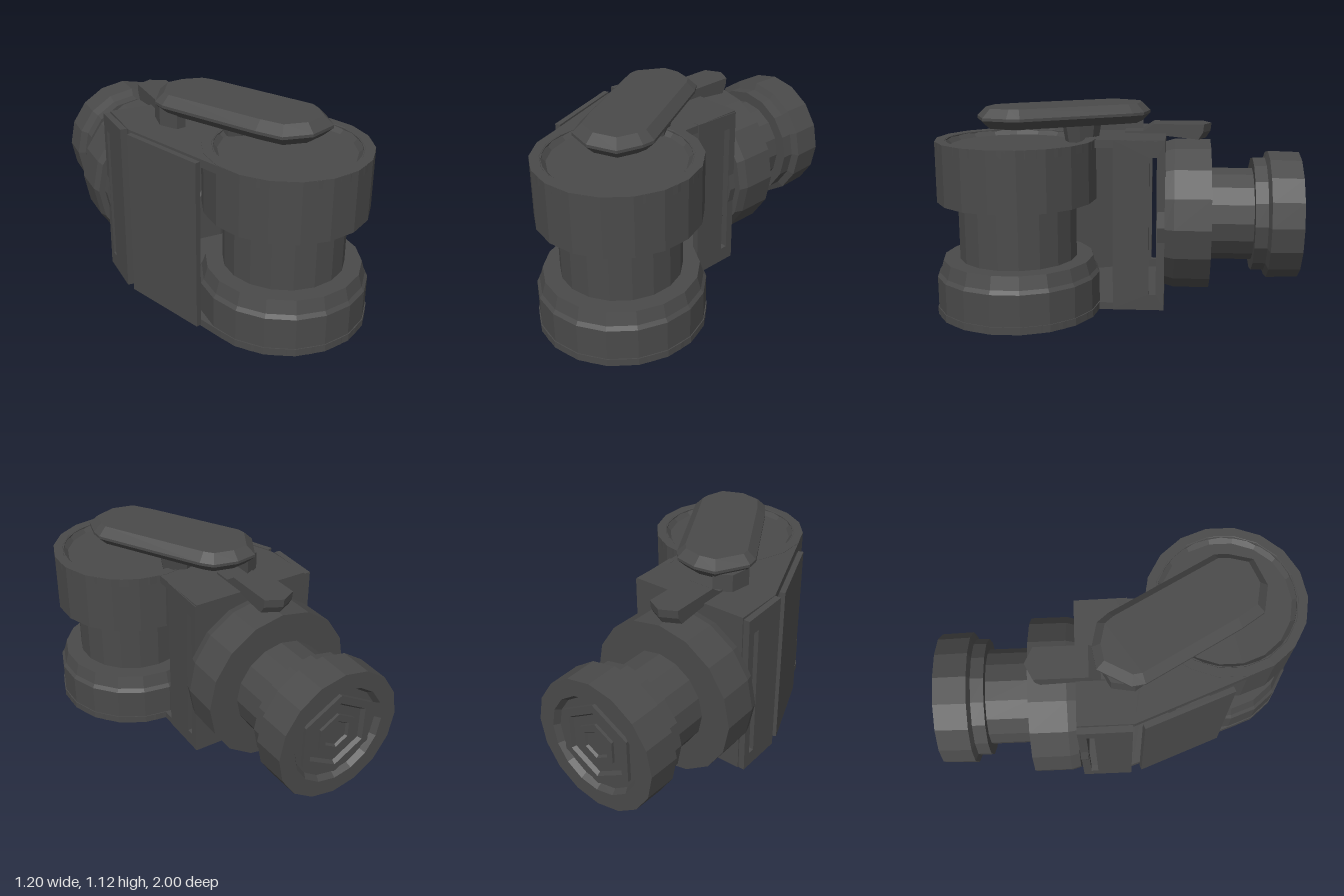
import * as THREE from 'three';

const material = new THREE.MeshStandardMaterial({ color: 0x4a4a4a, flatShading: true, side: THREE.DoubleSide });
const V2 = (list) => list.map(([x, y]) => new THREE.Vector2(x, y));

export function createModel() {
  const group = new THREE.Group();
  const add = (name, geometry, x = 0, y = 0, z = 0) => {
    const mesh = new THREE.Mesh(geometry, material);
    mesh.name = name;
    mesh.position.set(x, y, z);
    group.add(mesh);
    return mesh;
  };
  const box = (name, w, h, d, x, y, z) => add(name, new THREE.BoxGeometry(w, h, d), x, y, z);
  const lathe = (profile, sides) => new THREE.LatheGeometry(V2(profile), sides);
  // Plan outline in x and z, raised from y0 to y1
  const slab = (shape, y0, y1, bevel = 0) => {
    const g = new THREE.ExtrudeGeometry(shape, {
      depth: y1 - y0 - (bevel ? 0.09 : 0), curveSegments: 16, bevelEnabled: bevel > 0,
      bevelThickness: 0.045, bevelSize: bevel, bevelOffset: -bevel, bevelSegments: 1,
    });
    return g.rotateX(Math.PI / 2).translate(0, y1 - (bevel ? 0.045 : 0), 0);
  };

  // Upright drum: wide base, narrow neck, wide cap with recessed ends
  const cx = 0.15, cz = 0.55;
  add('uprightDrum', lathe([
    [0, 0.03], [0.34, 0.03], [0.37, 0.01], [0.45, 0.01], [0.45, 0.05], [0.445, 0.05], [0.445, 0.22],
    [0.43, 0.24], [0.41, 0.31], [0.32, 0.31], [0.32, 0.63], [0.43, 0.63], [0.43, 0.955],
    [0.38, 0.955], [0.35, 0.925], [0, 0.925]], 18), cx, 0, cz);
  const slot = box('drumSlot', 0.13, 0.02, 0.13, cx, 0.025, cz);
  slot.rotation.y = 0.3;

  // Top and bottom plates that join the drum to the rear frame
  const plate = (radius, hole) => {
    const s = new THREE.Shape();
    s.moveTo(-0.5, -0.25);
    s.lineTo(0.18, -0.25);
    s.lineTo(0.18, cz - radius);
    s.absarc(cx, cz, radius, -Math.PI / 2 + 0.07, Math.PI * 0.9, false);
    s.lineTo(-0.5, 0.04);
    s.closePath();
    s.holes.push(new THREE.Path().absarc(cx, cz, hole, 0, Math.PI * 2, true));
    return s;
  };
  add('bottomPlate', slab(plate(0.445, 0.36), 0.01, 0.05));
  add('topPlate', slab(plate(0.425, 0.37), 0.91, 0.953));

  // Slotted side walls of the rear frame, in z and y
  for (const [x, name] of [[-0.54, 'rightWall'], [0.15, 'leftWall']]) {
    const s = new THREE.Shape(V2([[-0.03, 0.015], [0.25, 0.015], [0.25, 0.945], [-0.03, 0.955]]));
    s.holes.push(new THREE.Path(V2([[0.165, 0.1], [0.165, 0.86], [0.205, 0.86], [0.205, 0.1]])));
    add(name, new THREE.ExtrudeGeometry(s, { depth: 0.035, bevelEnabled: false }).rotateY(Math.PI / 2), x);
  }
  box('rearWall', 0.68, 0.9, 0.03, -0.16, 0.48, -0.235);

  // Slanted cover between frame and drum
  const cover = box('slantedCover', 0.03, 0.93, 0.5, -0.425, 0.485, 0.32);
  cover.rotation.y = 0.36;

  // Horizontal drum reaching backwards, with hexagonal sockets
  const hx = -0.178, hy = 0.482;
  const backward = (name, profile, sides) =>
    add(name, lathe(profile, sides).rotateX(-Math.PI / 2), hx, hy, 0);
  backward('rearDrum', [
    [0, 0.25], [0.2, 0.25], [0.24, 0.21], [0.38, 0.21], [0.38, 0.25], [0.415, 0.25], [0.43, 0.3],
    [0.43, 0.5], [0.265, 0.5], [0.265, 0.74], [0.325, 0.74], [0.325, 0.81], [0.365, 0.825],
    [0.36, 1], [0.27, 1], [0.25, 0.97], [0, 0.97]], 16);
  backward('rearSocketRing', [[0.235, 0.96], [0.235, 0.99], [0.19, 0.99], [0.17, 0.965]], 6);
  backward('rearSocketBolt', [[0.12, 0.96], [0.12, 0.985], [0.08, 0.985], [0.07, 0.972], [0, 0.972]], 6);
  backward('innerSocketRing', [[0.1, 0.24], [0.1, 0.22], [0.16, 0.22], [0.16, 0.25]], 6);

  // Thumb lever lying diagonally across the top
  add('lever', slab(new THREE.Shape(V2([
    [-0.25, 0.15 - 0.29], [-0.13, -0.16], [0, -0.13], [0.05, -0.07], [0.355, 0.49], [0.355, 0.56],
    [0.32, 0.69], [0.17, 0.75], [0.02, 0.72], [-0.06, 0.6], [-0.335, 0.1], [-0.345, 0.03]])),
  1.02, 1.125, 0.045));
  const legShape = new THREE.Shape(V2([[-0.31, -0.07], [-0.22, -0.12], [-0.22, 0.13], [-0.27, 0.14], [-0.33, 0.05]]));
  add('leverFoot', slab(legShape, 0.92, 1.05));
  add('leverPivot', new THREE.CylinderGeometry(0.11, 0.09, 0.12, 8), 0.02, 0.98, 0.21);

  // Wedge-shaped latch over the rear flange, pointed at its back end
  const latch = new THREE.ExtrudeGeometry(new THREE.Shape(V2([
    [0.02, 0.95], [0.15, 0.95], [0.43, 0.92], [0.455, 0.96], [0.46, 1.005], [0.18, 1.005], [0.12, 0.965], [0.02, 0.965]])),
  { depth: 0.175, steps: 2, bevelEnabled: false }).rotateY(Math.PI / 2);
  const p = latch.attributes.position;
  for (let i = 0; i < p.count; i++) {
    const middle = Math.abs(p.getX(i) - 0.0875) < 0.01;
    if (middle && p.getZ(i) < -0.42) p.setZ(i, p.getZ(i) - 0.045);
  }
  add('latch', latch, -0.265);

  return group;
}
